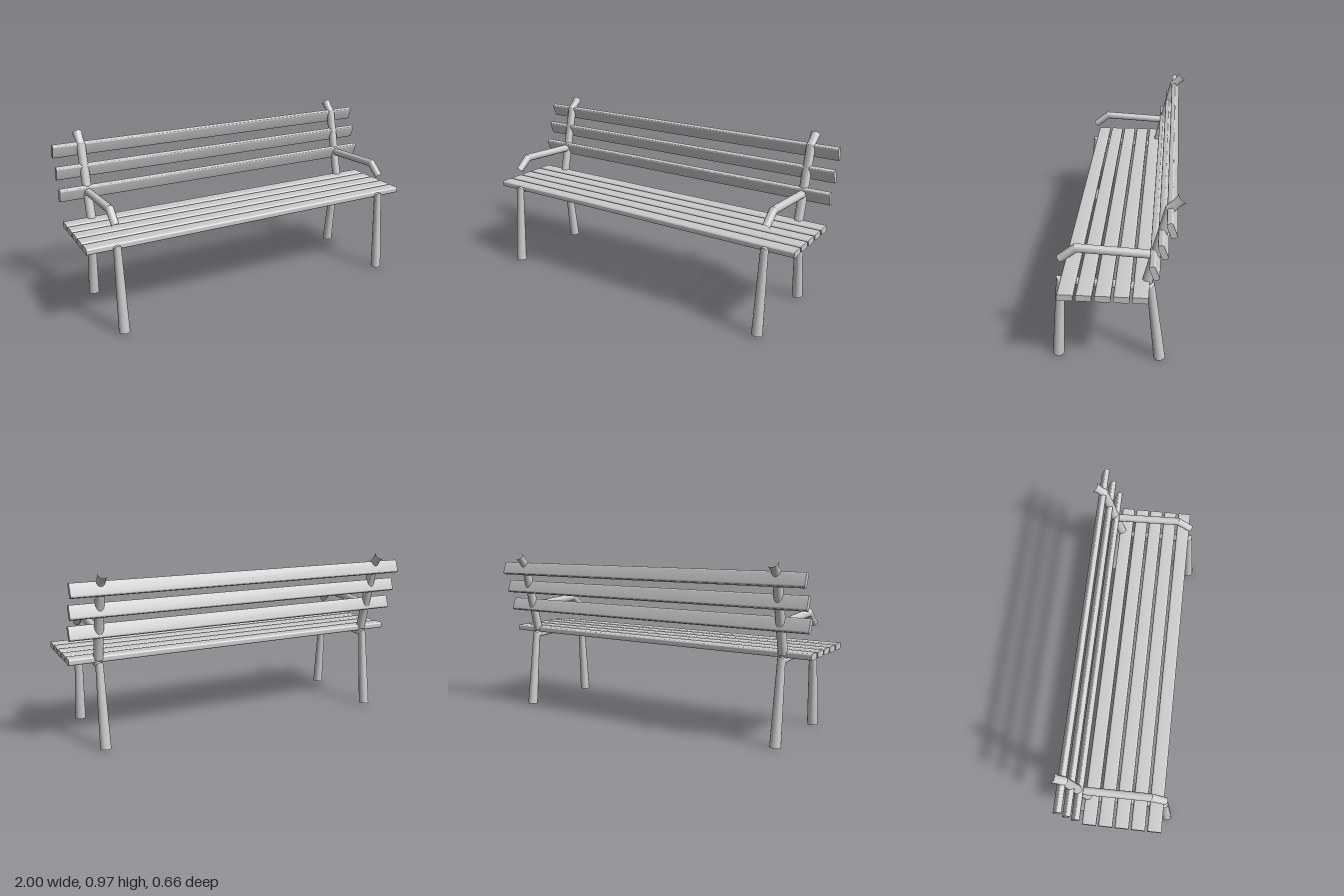
import * as THREE from 'three';
import { toCreasedNormals } from 'three/addons/utils/BufferGeometryUtils.js';

const SIDES = 16;

// Open tube in the y-z plane with mitred bends; points are [z, y, radius]
function mitredTube(points) {
  const p = points.map(([z, y]) => new THREE.Vector2(z, y));
  const dirs = p.slice(1).map((q, i) => q.clone().sub(p[i]).normalize());
  const positions = [];
  const index = [];
  points.forEach(([z, y, r], i) => {
    const before = dirs[Math.max(i - 1, 0)];
    const after = dirs[Math.min(i, dirs.length - 1)];
    const t = before.clone().add(after).normalize();
    const stretch = r / t.dot(after);
    for (let j = 0; j < SIDES; j++) {
      const a = (j / SIDES) * Math.PI * 2;
      const s = Math.sin(a) * stretch;
      positions.push(r * Math.cos(a), y - t.x * s, z + t.y * s);
      if (i < points.length - 1) {
        const k = (j + 1) % SIDES;
        const A = i * SIDES + j, B = A + SIDES, C = i * SIDES + k, D = C + SIDES;
        index.push(A, B, C, B, D, C);
      }
    }
  });
  const g = new THREE.BufferGeometry();
  g.setAttribute('position', new THREE.Float32BufferAttribute(positions, 3));
  g.setIndex(index);
  return toCreasedNormals(g, 0.5);
}

// Plank along x with rounded long edges
function plank(depth, height, r) {
  const w = depth / 2, h = height / 2;
  const s = new THREE.Shape();
  s.moveTo(-w + r, -h);
  s.lineTo(w - r, -h);
  s.quadraticCurveTo(w, -h, w, -h + r);
  s.lineTo(w, h - r);
  s.quadraticCurveTo(w, h, w - r, h);
  s.lineTo(-w + r, h);
  s.quadraticCurveTo(-w, h, -w, h - r);
  s.lineTo(-w, -h + r);
  s.quadraticCurveTo(-w, -h, -w + r, -h);
  const g = new THREE.ExtrudeGeometry(s, { depth: 2, bevelEnabled: false, curveSegments: 4 });
  g.translate(0, 0, -1).rotateY(Math.PI / 2);
  return toCreasedNormals(g, 0.6);
}

export function createModel() {
  const bench = new THREE.Group();
  bench.name = 'bench';
  const grey = new THREE.MeshStandardMaterial({ color: 0xcccccc });
  grey.name = 'light grey';

  const add = (parent, name, geometry) => {
    const mesh = new THREE.Mesh(geometry, grey);
    mesh.name = name;
    parent.add(mesh);
    return mesh;
  };

  // Tubular side frames
  const legs = mitredTube([[0.302, 0.005, 0.03], [0.271, 0.469, 0.021], [-0.174, 0.449, 0.021], [-0.225, 0.004, 0.03]]);
  const post = mitredTube([[-0.155, 0.48, 0.026], [-0.256, 0.893, 0.025], [-0.283, 0.92, 0.022], [-0.311, 0.948, 0.027]]);
  const arm = mitredTube([[0.27, 0.594, 0.021], [0.19, 0.659, 0.022], [-0.195, 0.638, 0.022]]);
  for (const side of [1, -1]) {
    const frame = new THREE.Group();
    frame.name = side > 0 ? 'leftFrame' : 'rightFrame';
    frame.position.x = side * 0.842;
    add(frame, 'legsAndSeatRail', legs);
    add(frame, 'backPost', post);
    add(frame, 'armrest', arm);
    bench.add(frame);
  }

  // Seat slats
  const seatSlat = plank(0.077, 0.034, 0.01);
  for (let i = 0; i < 5; i++) {
    add(bench, 'seatSlat' + (i + 1), seatSlat).position.set(0, 0.48, 0.228 - i * 0.0896);
  }

  // Tilted backrest slats
  const backSlat = plank(0.03, 0.077, 0.01);
  for (let i = 0; i < 3; i++) {
    const slat = add(bench, 'backSlat' + (i + 1), backSlat);
    slat.position.set(0, 0.638 + i * 0.1155, -0.194 - i * 0.0365);
    slat.rotation.x = 0.35;
  }
  return bench;
}
